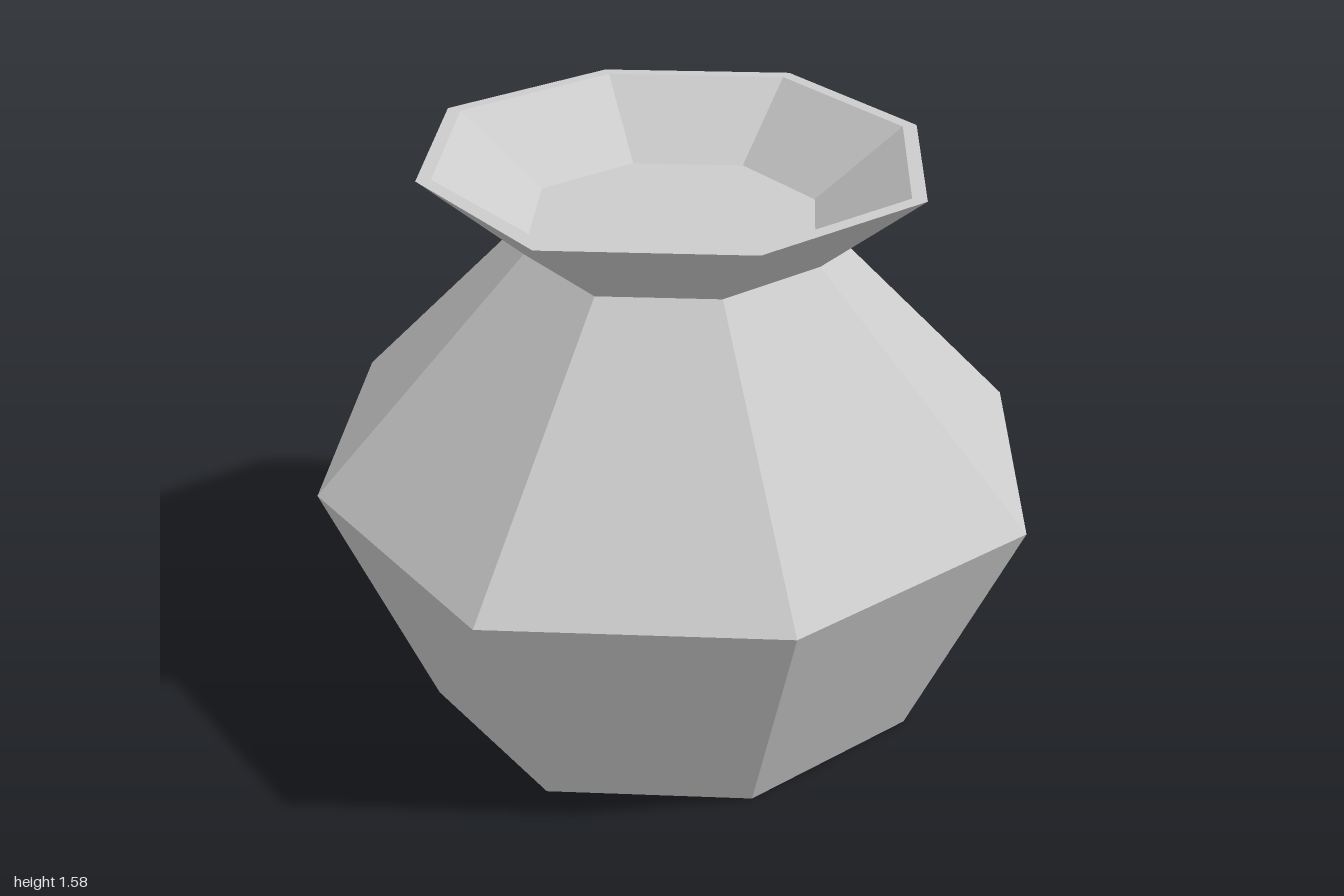
import * as THREE from 'three';

const DIAGONAL = 1.034; // corners on the diagonals sit slightly further out

// Turns a [radius, height] profile into a faceted eight-sided shell
function octagonShell(name, profile, material) {
  const points = profile.map(([r, y]) => new THREE.Vector2(r, y));
  const lathe = new THREE.LatheGeometry(points, 8);
  const pos = lathe.attributes.position;
  for (let i = 0; i < pos.count; i++) {
    const x = pos.getX(i), z = pos.getZ(i);
    if (Math.abs(x * z) > 1e-4) pos.setXYZ(i, x * DIAGONAL, pos.getY(i), z * DIAGONAL);
  }
  const geometry = lathe.toNonIndexed();
  geometry.computeVertexNormals();
  const mesh = new THREE.Mesh(geometry, material);
  mesh.name = name;
  return mesh;
}

export function createModel() {
  const group = new THREE.Group();
  group.name = 'pot';
  const material = new THREE.MeshStandardMaterial({ color: 0xcccccc, flatShading: true });

  // Closed base, widening to the belly and narrowing to the neck
  group.add(octagonShell('body', [[0, 0], [0.71, 0], [1, 0.715], [0.41, 1.345]], material));

  // Flared collar: outer wall, flat lip, inner wall and shallow floor
  group.add(octagonShell('rim', [
    [0.41, 1.345], [0.68, 1.58], [0.64, 1.58], [0.395, 1.4], [0, 1.4],
  ], material));

  return group;
}
